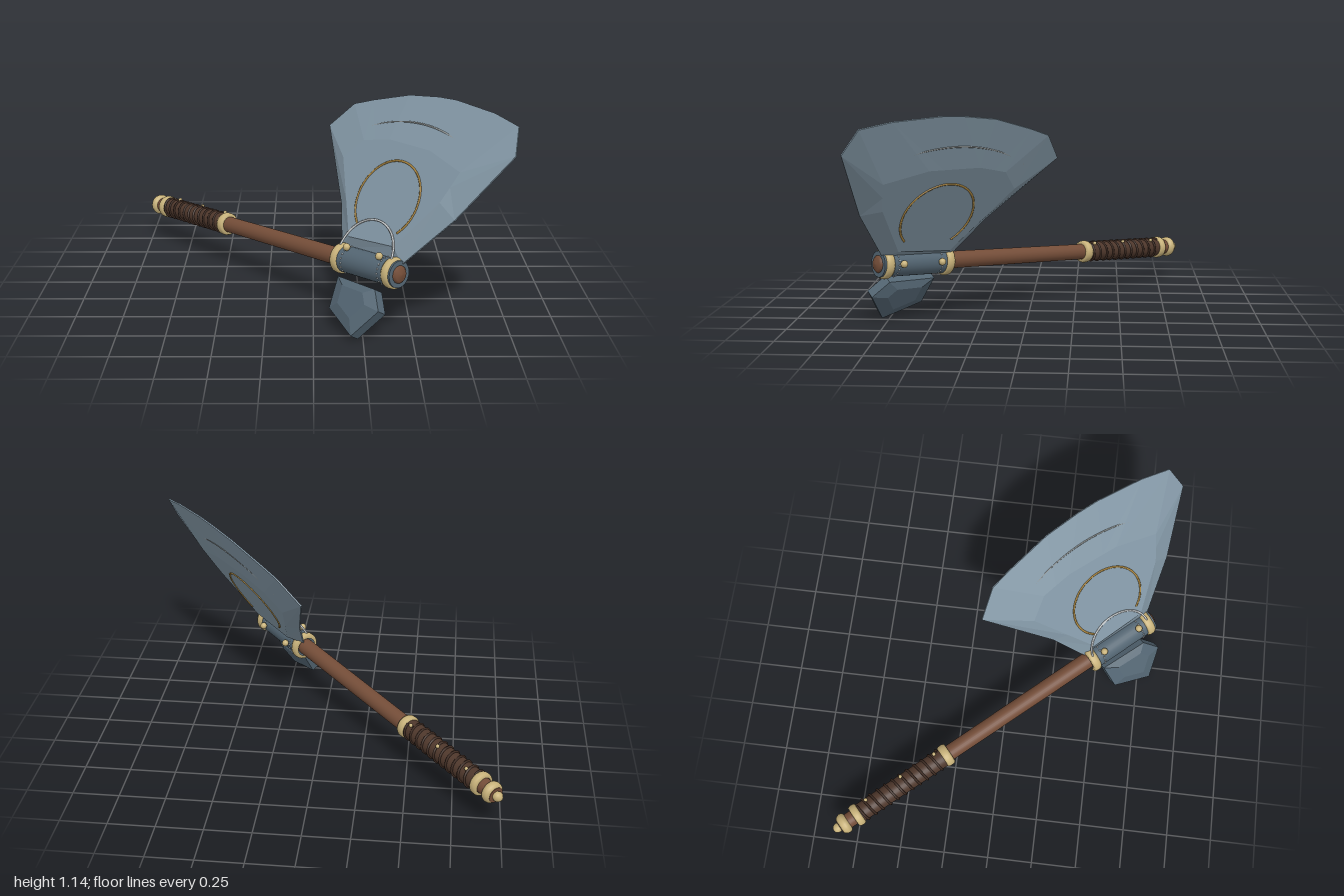
import * as THREE from 'three';

const mat = (name, color, extra = {}) => Object.assign(new THREE.MeshStandardMaterial({ color, ...extra }), { name });

export function createModel() {
  const steel = mat('blade steel', 0x8195a3, { flatShading: true });
  const darkSteel = mat('dark steel', 0x536572);
  const wood = mat('wood', 0x744d38);
  const leather = mat('leather', 0x4e372b);
  const cord = mat('cord', 0x3e2b22);
  const gold = mat('pale gold', 0xc8b27a);
  const brass = mat('brass inlay', 0xa8843f);
  const silver = mat('silver', 0xc6cacc);
  const groove = mat('dull silver', 0x8f9494);

  // Local frame: x along the handle to the head, y towards the cutting edge, z across the blade
  const axe = new THREE.Group();
  axe.name = 'axe';
  const add = (name, geo, material) => {
    const m = new THREE.Mesh(geo, material);
    m.name = name;
    axe.add(m);
    return m;
  };

  // Turned part from [position along the handle, radius] pairs
  const turned = (name, pts, material, seg = 28) => {
    const g = new THREE.LatheGeometry(pts.map(([s, r]) => new THREE.Vector2(r, s)), seg);
    g.rotateZ(-Math.PI / 2);
    return add(name, g, material);
  };
  const rod = (name, s0, s1, r0, r1, material) => {
    const g = new THREE.CylinderGeometry(r1, r0, s1 - s0, 28);
    g.rotateZ(-Math.PI / 2);
    g.translate((s0 + s1) / 2, 0, 0);
    return add(name, g, material);
  };
  const band = (name, s, r, w) => turned(name, [
    [s - w, r * 0.7], [s - w, r * 0.9], [s - w * 0.6, r * 0.98], [s, r],
    [s + w * 0.6, r * 0.98], [s + w, r * 0.9], [s + w, r * 0.7]], gold);
  const bead = (name, s, t, w, r, material) =>
    add(name, new THREE.SphereGeometry(r, 12, 8), material).position.set(s, t, w);
  const tube = (name, pts, r, material, n = 48) =>
    add(name, new THREE.TubeGeometry(new THREE.CatmullRomCurve3(pts), n, r, 6), material);
  const arc = (cx, cy, r, a0, a1, z, n = 20) => Array.from({ length: n + 1 }, (_, i) => {
    const a = THREE.MathUtils.degToRad(a0 + (a1 - a0) * i / n);
    return new THREE.Vector3(cx + r * Math.cos(a), cy + r * Math.sin(a), z);
  });

  // Two-sided bevelled plate: outline at +-rim rises to the inner panel at +-h
  function bevelled(outer, inner, rim, h) {
    const pos = [], n = outer.length;
    const c = inner.reduce((a, p) => [a[0] + p[0] / n, a[1] + p[1] / n], [0, 0]);
    const tri = (...v) => v.forEach(p => pos.push(...p));
    for (let i = 0; i < n; i++) {
      const j = (i + 1) % n;
      for (const d of [1, -1]) {
        const oi = [...outer[i], d * rim], oj = [...outer[j], d * rim];
        const ii = [...inner[i], d * h], ij = [...inner[j], d * h], cc = [...c, d * h];
        for (const [a, b, e] of [[oi, oj, ij], [oi, ij, ii], [ii, ij, cc]])
          d > 0 ? tri(a, b, e) : tri(a, e, b);
      }
      const bi = [...outer[i], -rim], bj = [...outer[j], -rim];
      const ti = [...outer[i], rim], tj = [...outer[j], rim];
      tri(bi, bj, tj);
      tri(bi, tj, ti);
    }
    const g = new THREE.BufferGeometry();
    g.setAttribute('position', new THREE.Float32BufferAttribute(pos, 3));
    g.computeVertexNormals();
    return g;
  }

  // Blade
  const edge = [[-0.22, 0.05], [-0.345, 0.28], [-0.655, 0.69], [-0.525, 0.835], [-0.395, 0.872],
    [-0.144, 0.929], [0.06, 0.941], [0.186, 0.938], [0.46, 0.898], [0.63, 0.85], [0.675, 0.70],
    [0.45, 0.33], [0.22, 0.05]].reverse();
  const panel = [[-0.155, 0.11], [-0.27, 0.295], [-0.41, 0.52], [-0.304, 0.63], [-0.22, 0.645],
    [-0.126, 0.66], [0, 0.652], [0.09, 0.646], [0.176, 0.64], [0.417, 0.56], [0.39, 0.475],
    [0.36, 0.39], [0.17, 0.12]].reverse();
  add('blade', bevelled(edge, panel, 0.004, 0.05), steel);

  // Inlays on both faces of the blade
  for (const d of [1, -1]) {
    tube('horseshoeInlay', arc(0.015, 0.345, 0.213, -47, 227, d * 0.05), 0.006, brass, 64);
    tube('edgeInlay', arc(0, -0.08, 0.857, 61, 119, d * 0.029), 0.005, groove);
  }
  // Wire loop on the front face
  tube('wireLoop', arc(0, 0.04, 0.19, 0, 180, 0.053), 0.006, silver);

  // Back wedge under the socket
  const wedge = [[-0.15, -0.10], [-0.13, -0.27], [0.085, -0.37], [0.205, -0.21], [0.13, -0.11]];
  const wedgeTop = wedge.map(([s, t]) => [0.02 + (s - 0.02) * 0.55, -0.19 + (t + 0.19) * 0.55]);
  const wedgeMesh = add('backWedge', bevelled(wedge, wedgeTop, 0.028, 0.052), darkSteel.clone());
  wedgeMesh.material = darkSteel;

  // Socket with bands, rivets and rows of studs
  rod('socket', -0.2, 0.225, 0.07, 0.07, darkSteel);
  for (const e of [-1, 1]) {
    band('socketBand', e * 0.19, 0.082, 0.024);
    for (const d of [1, -1]) bead('rivet', e * 0.12, 0.052, d * 0.072, 0.02, gold);
    for (let i = 0; i < 18; i++) {
      const a = i / 18 * Math.PI * 2;
      bead('stud', e * 0.135, 0.07 * Math.cos(a), 0.07 * Math.sin(a), 0.005, silver);
    }
  }
  turned('handleEnd', [[0.2, 0.046], [0.228, 0.046], [0.24, 0.035], [0.245, 0]], wood);

  // Handle and wrapped grip
  rod('handle', -1.9, -0.18, 0.043, 0.047, wood);
  rod('grip', -1.79, -1.19, 0.053, 0.055, leather);
  const turns = 11, helix = [];
  for (let i = 0; i <= turns * 12; i++) {
    const a = i / 12 * Math.PI * 2;
    helix.push(new THREE.Vector3(-1.76 + 0.54 * i / (turns * 12), 0.056 * Math.cos(a), 0.056 * Math.sin(a)));
  }
  tube('gripCord', helix, 0.007, cord, turns * 16);
  for (const s of [-1.7, -1.47, -1.245]) bead('gripStud', s, 0.06, 0, 0.011, gold);
  band('gripTopBand', -1.19, 0.065, 0.024);
  band('gripEndBand', -1.785, 0.065, 0.022);

  // Pommel
  turned('pommel', [[-1.94, 0], [-1.937, 0.015], [-1.925, 0.025], [-1.91, 0.028], [-1.9, 0.024],
    [-1.897, 0.045], [-1.885, 0.056], [-1.868, 0.06], [-1.852, 0.056], [-1.845, 0.042]], gold);

  // Tilt the whole axe so it rests on the ground
  const u = new THREE.Vector3(0.655, 0.065, 0.753).normalize();
  const v = new THREE.Vector3(0.352, 0.855, -0.382);
  v.addScaledVector(u, -v.dot(u)).normalize();
  const n = new THREE.Vector3().crossVectors(u, v);
  axe.quaternion.setFromRotationMatrix(new THREE.Matrix4().makeBasis(u, v, n));
  axe.position.set(0.28, 0.335, 0.6);

  const model = new THREE.Group();
  model.name = 'battleAxe';
  model.add(axe);
  return model;
}
